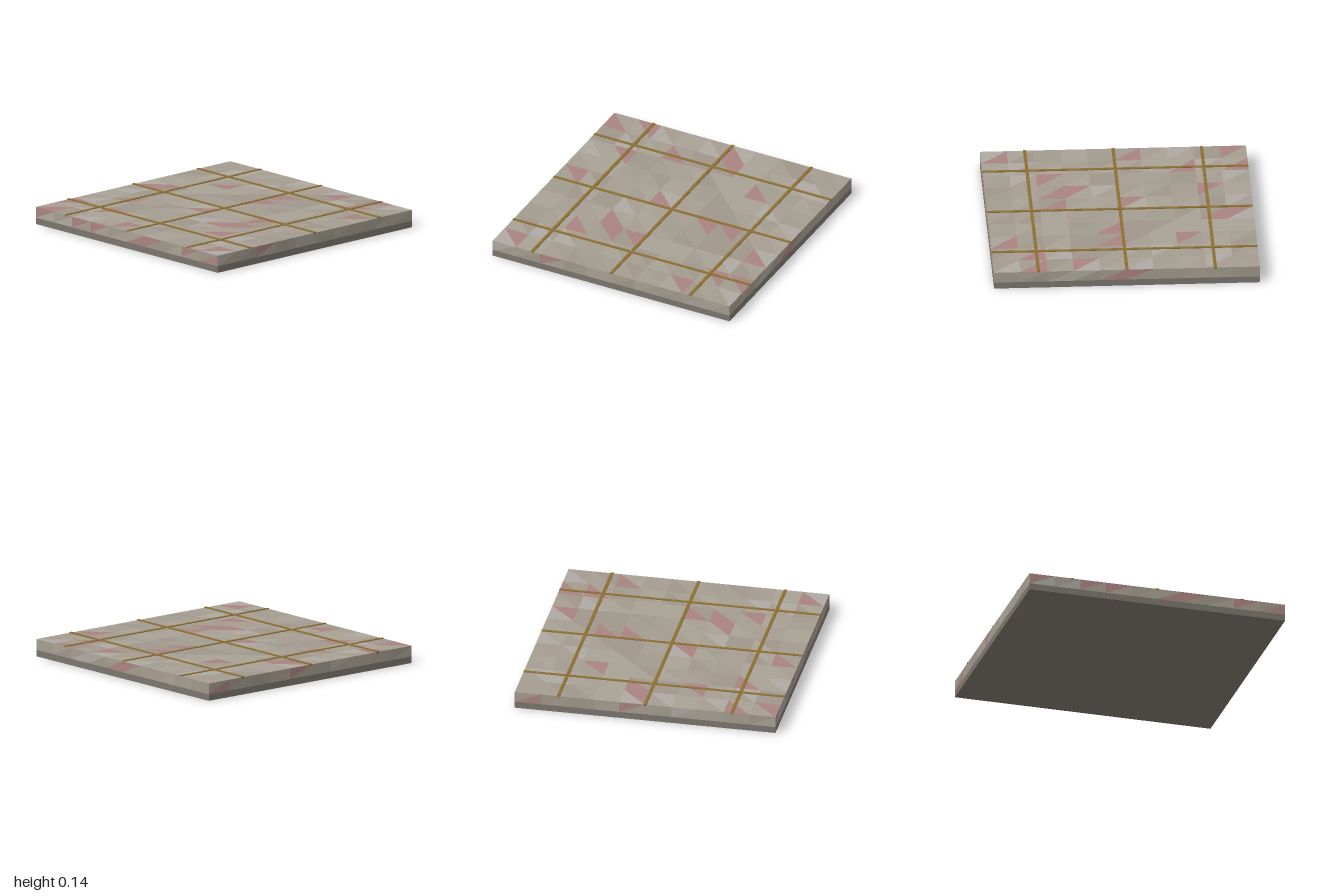
import * as THREE from 'three';

const CELLS = 10;
const STONE = [0xa69d90, 0xa39b8e, 0x9f978a, 0xa9a195, 0xaeaaa2];
const PINK = 0xa98480;

// Rose facets per face: [row, column, half], half 0 = upper left, 1 = lower right
const ROSE = {
  px: [[0, 2, 0]],
  nx: [[0, 0, 1], [0, 4, 0]],
  py: [
    [0, 6, 1], [0, 8, 0], [1, 8, 0], [2, 2, 1], [2, 5, 0], [2, 9, 0], [3, 5, 0],
    [4, 0, 1], [4, 1, 0], [5, 4, 1], [5, 7, 0], [6, 1, 1], [6, 6, 1], [6, 7, 0],
    [7, 7, 1], [8, 0, 0], [8, 2, 0], [9, 0, 1], [9, 4, 0], [9, 9, 0],
  ],
  pz: [[0, 0, 0], [0, 2, 0], [0, 3, 0], [0, 5, 1], [0, 6, 0], [0, 8, 0], [0, 9, 1]],
  nz: [[0, 4, 1], [0, 5, 0]],
};
// First triangle of each face in the segmented box
const FACE_START = { px: 0, nx: 20, py: 40, pz: 440, nz: 460 };

function seeded(seed) {
  return () => {
    seed = (seed * 16807) % 2147483647;
    return seed / 2147483647;
  };
}

function box(name, size, position, color) {
  const mesh = new THREE.Mesh(
    new THREE.BoxGeometry(...size),
    new THREE.MeshStandardMaterial({ color })
  );
  mesh.name = name;
  mesh.position.set(...position);
  return mesh;
}

// Stone slab whose triangles are sorted into one mesh per shade
function stoneSlab(bottom, top) {
  const slab = new THREE.Group();
  slab.name = 'stoneSlab';
  const source = new THREE.BoxGeometry(2, top - bottom, 2, CELLS, 1, CELLS);
  const index = source.getIndex().array;

  const rose = new Set();
  for (const [face, cells] of Object.entries(ROSE)) {
    for (const [row, col, half] of cells) {
      rose.add(FACE_START[face] + (row * CELLS + col) * 2 + half);
    }
  }

  const colors = [...STONE, PINK];
  const buckets = colors.map(() => []);
  const random = seeded(417);
  for (let t = 0; t < index.length / 3; t++) {
    // The lightest shade is rarer than the others
    const shade = random() < 0.08 ? 4 : Math.floor(random() * 4);
    buckets[rose.has(t) ? 5 : shade].push(...index.slice(t * 3, t * 3 + 3));
  }

  buckets.forEach((indices, i) => {
    const geometry = source.clone();
    geometry.clearGroups();
    geometry.setIndex(indices);
    const material = new THREE.MeshStandardMaterial({ color: colors[i] });
    const mesh = new THREE.Mesh(geometry, material);
    mesh.name = i === 5 ? 'roseFacets' : `stoneFacets${i + 1}`;
    slab.add(mesh);
  });
  slab.position.y = (bottom + top) / 2;
  return slab;
}

export function createModel() {
  const group = new THREE.Group();
  group.name = 'floorTile';
  const baseTop = 0.05;
  const slabTop = 0.133;

  // Dark bedding layer and the stone on it
  group.add(box('beddingLayer', [2, baseTop, 2], [0, baseTop / 2, 0], 0x7b766e));
  group.add(stoneSlab(baseTop, slabTop));

  // Brass inlay strips, the crosswise ones standing slightly prouder
  for (const p of [-0.665, 0, 0.665]) {
    group.add(box('lengthwiseInlay', [0.024, 0.015, 2], [p, slabTop - 0.003, 0], 0x8c6f32));
    group.add(box('crosswiseInlay', [2, 0.016, 0.024], [0, slabTop - 0.002, p], 0x8c6f32));
  }
  return group;
}
